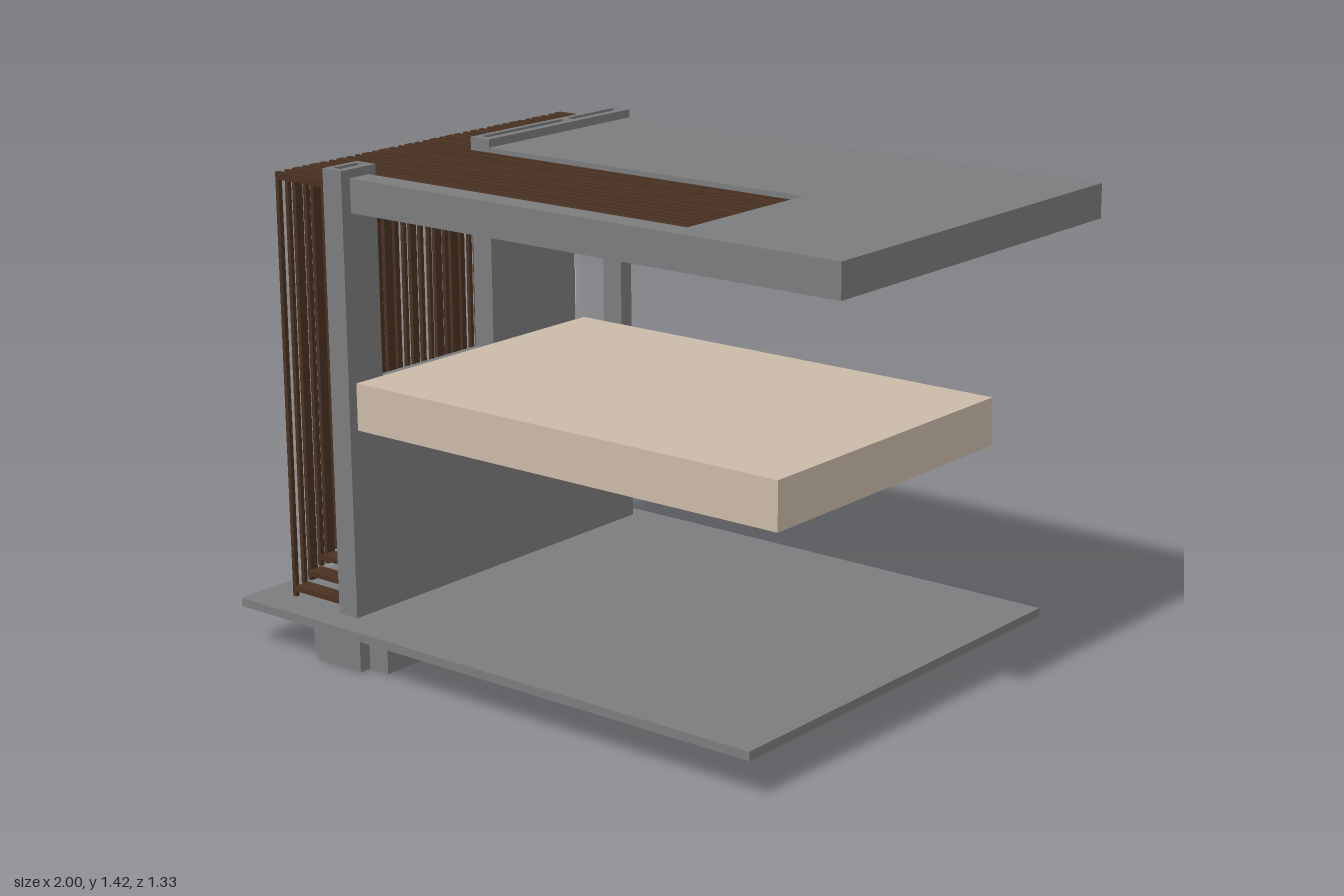
import * as THREE from 'three';

const paint = (color) => new THREE.MeshStandardMaterial({ color });
const concrete = paint(0x7c7d7e);
const plaster = paint(0xccbbaa);
const wood = paint(0x4a3222);
const pale = paint(0xcccccc);

// Box given by its lower and upper limits on each axis
function block(parent, name, mat, [x0, x1], [y0, y1], [z0, z1]) {
  const mesh = new THREE.Mesh(new THREE.BoxGeometry(x1 - x0, y1 - y0, z1 - z0), mat);
  mesh.position.set((x0 + x1) / 2, (y0 + y1) / 2, (z0 + z1) / 2);
  mesh.name = name;
  parent.add(mesh);
  return mesh;
}

function subgroup(parent, name) {
  const g = new THREE.Group();
  g.name = name;
  parent.add(g);
  return g;
}

const points = (list) => list.map(([a, b]) => new THREE.Vector2(a, b));
const rect = (a0, a1, b0, b1) => points([[a0, b0], [a1, b0], [a1, b1], [a0, b1]]);

function plate(outline, holes, depth) {
  const shape = new THREE.Shape(outline);
  holes.forEach((h) => shape.holes.push(new THREE.Path(h)));
  return new THREE.ExtrudeGeometry(shape, { depth, bevelEnabled: false });
}

// Horizontal plate: outline in x and z, hanging down from the given top
function slab(parent, name, mat, outline, holes, top, depth) {
  const geo = plate(outline, holes, depth).rotateX(Math.PI / 2).translate(0, top, 0);
  const mesh = new THREE.Mesh(geo, mat);
  mesh.name = name;
  parent.add(mesh);
}

// Stair layout: climbs from the front towards the back landing
const STEPS = 18, FLOOR = 0.147, LANDING = 0.73;
const STAIR_FRONT = 0.565, STAIR_BACK = -0.39;
const RUN = (STAIR_FRONT - STAIR_BACK) / STEPS;
const RISE = (LANDING - FLOOR) / STEPS;
const stairHeight = (z) => {
  const i = Math.floor((STAIR_FRONT - z) / RUN);
  return FLOOR + RISE * Math.min(STEPS, Math.max(0, i));
};

export function createModel() {
  const model = new THREE.Group();
  model.name = 'pavilion';
  const body = subgroup(model, 'body');
  body.rotation.x = 0.0092; // the whole building leans very slightly

  // Ground plate and footing
  block(body, 'groundPlate', concrete, [-1, 0.82], [0.122, FLOOR], [-0.666, 0.664]);
  const footing = subgroup(body, 'footing');
  block(footing, 'footingBackPad', concrete, [-0.8, -0.51], [0.006, 0.122], [-0.2, -0.03]);
  block(footing, 'footingBeam', concrete, [-0.745, -0.58], [0.006, 0.122], [-0.03, 0.615]);
  block(footing, 'footingFrontPad', concrete, [-0.8, -0.51], [0.0065, 0.122], [0.415, 0.578]);

  // Side wall with an open notch and a doorway
  const wallTop = 1.34;
  const wallGeo = plate(
    points([[-0.617, FLOOR], [0.582, FLOOR], [0.582, wallTop], [0.452, wallTop],
      [0.452, 0.8], [0, 0.8], [0, wallTop], [-0.617, wallTop]]),
    [rect(-0.57, -0.36, 0.73, 1.3)], 0.07);
  wallGeo.rotateY(-Math.PI / 2).translate(-0.62, 0, 0);
  const wall = new THREE.Mesh(wallGeo, concrete);
  wall.name = 'sideWall';
  body.add(wall);
  block(body, 'doorJamb', pale, [-0.7, -0.618], [0.73, 1.3], [-0.386, -0.359]);

  // Slotted rim on top of the wall
  const slot = (z0, z1) => rect(-0.672, -0.645, z0, z1);
  slab(body, 'frontWallRim', concrete, rect(-0.69, -0.62, 0.452, 0.582), [slot(0.468, 0.56)], 1.411, 1.411 - wallTop);
  slab(body, 'backWallRim', concrete, rect(-0.69, -0.62, -0.617, 0),
    [slot(-0.6, -0.39), slot(-0.37, -0.025)], 1.411, 1.411 - wallTop);
  block(body, 'slatBearer', wood, [-0.671, -0.646], [1.31, 1.352], [-0.598, 0.558]);

  // Upper floor
  block(body, 'upperFloor', plaster, [-0.62, 0.82], [0.685, 0.819], [-0.396, 0.553]);
  block(body, 'floorBearer', wood, [-0.62, -0.41], [0.67, 0.684], [-0.39, -0.36]);

  // Roof plate with a long opening beside the wall
  slab(body, 'roof', concrete,
    points([[-0.62, -0.618], [1, -0.618], [1, 0.55], [-0.62, 0.55], [-0.62, 0.478],
      [0.48, 0.478], [0.48, -0.002], [-0.62, -0.002]]), [], 1.387, 0.095);

  // Slatted screen: uprights that stop at the stair, turning over into roof slats
  const screen = subgroup(body, 'slatScreen');
  const widths = [0.027, 0.012, 0.013, 0.024, 0.012, 0.017, 0.03, 0.014];
  const count = 35, pitch = 1.16 / (count - 1);
  for (let i = 0; i < count; i++) {
    const z = -0.605 + i * pitch;
    const w = widths[i % widths.length] / 2;
    const overHole = z > 0.005 && z < 0.475;
    block(screen, 'uprightSlat', wood, [-0.897, -0.885], [stairHeight(z), 1.374], [z - w, z + w]);
    block(screen, 'roofSlat', wood, [-0.897, overHole ? 0.48 : -0.69], [1.353, 1.374], [z - w, z + w]);
  }

  // Stair: open wooden treads below, solid concrete steps above
  const stair = subgroup(body, 'stair');
  for (let i = 1; i <= STEPS; i++) {
    const y = FLOOR + i * RISE;
    const z1 = STAIR_FRONT - (i - 1) * RUN;
    const solid = i > 12;
    block(stair, solid ? 'solidStep' : 'openTread', solid ? concrete : wood,
      [-0.885, -0.69], [solid ? FLOOR : y - 0.014, y], [z1 - RUN, z1]);
  }
  block(stair, 'landingBase', concrete, [-0.885, -0.69], [FLOOR, 0.712], [-0.59, STAIR_BACK]);

  // Boarded landing running through the doorway
  const landing = subgroup(body, 'landing');
  for (let i = 0; i < 6; i++) {
    const z = -0.588 + i * 0.034;
    block(landing, 'landingBoard', wood, [-0.89, -0.41], [0.716, 0.731], [z - 0.013, z + 0.013]);
  }
  return model;
}
